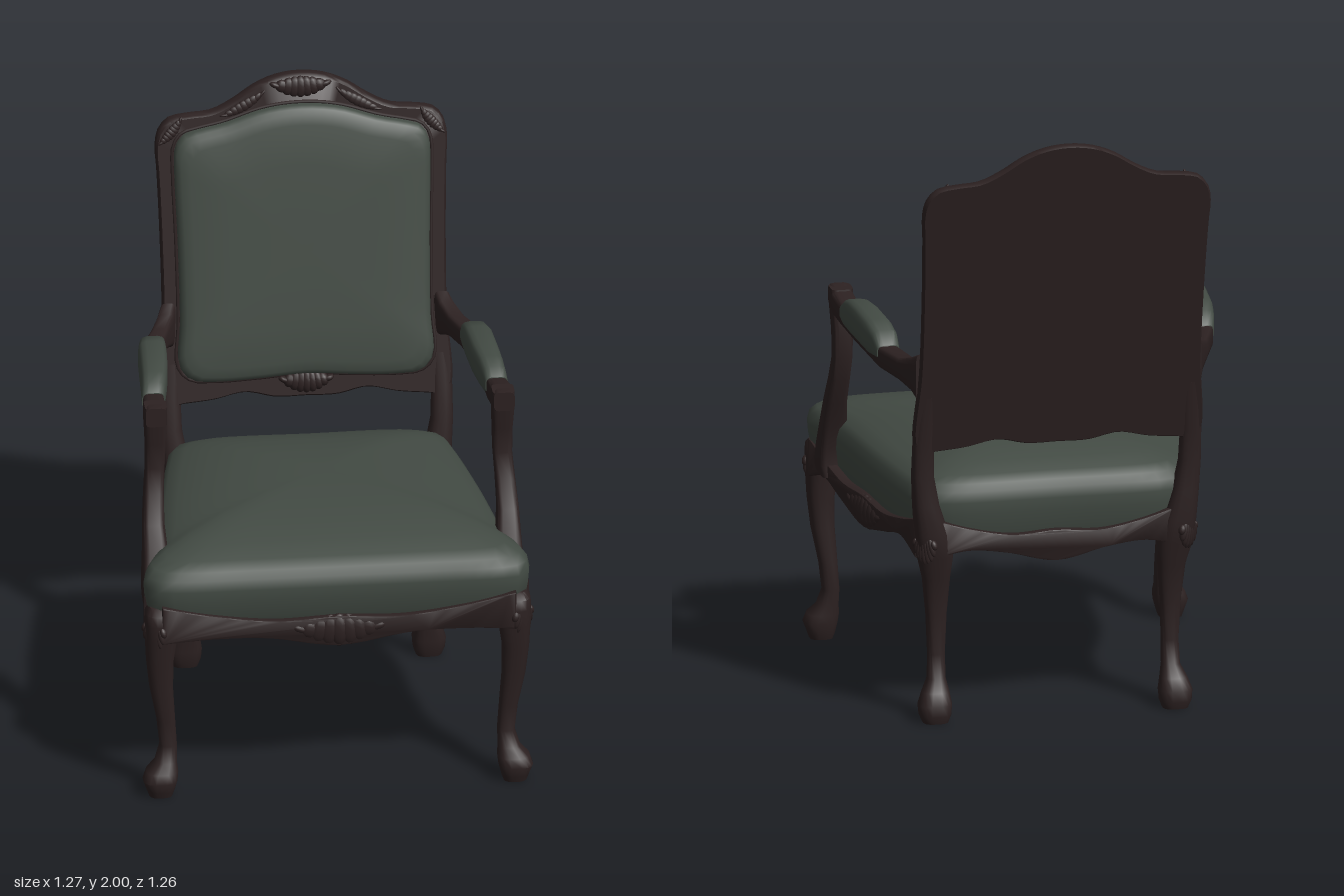
import * as THREE from 'three';
import { mergeGeometries, toCreasedNormals } from 'three/addons/utils/BufferGeometryUtils.js';

const V = (x, y, z) => new THREE.Vector3(x, y, z);

// Solid through a list of equal-length rings, facing outwards; the first end may stay open
function loft(rings, crease = 0.8, openStart = false) {
  const n = rings[0].length, pts = rings.flat(), tris = [];
  const mid = (r) => r.reduce((a, p) => a.add(p), V(0, 0, 0)).divideScalar(n);
  for (let i = 0; i < rings.length - 1; i++) {
    for (let j = 0; j < n; j++) {
      const a = i * n + j, b = i * n + (j + 1) % n;
      tris.push([a, b, b + n], [a, b + n, a + n]);
    }
  }
  const last = (rings.length - 1) * n, c0 = pts.length;
  pts.push(mid(rings[0]), mid(rings[rings.length - 1]));
  for (let j = 0; j < n; j++) {
    const k = (j + 1) % n;
    if (!openStart) tris.push([c0, k, j]);
    tris.push([c0 + 1, last + j, last + k]);
  }
  let volume = 0;
  for (const [a, b, c] of tris) volume += pts[a].dot(V(0, 0, 0).crossVectors(pts[b], pts[c]));
  const geo = new THREE.BufferGeometry().setFromPoints(pts);
  geo.setIndex(tris.flatMap(([a, b, c]) => (volume > 0 ? [a, b, c] : [a, c, b])));
  return toCreasedNormals(geo, crease);
}

// Rounded-square ring (smaller power = squarer); plane(u, v) maps the offsets into space
function ring(hu, hv, power, plane, n = 16) {
  return Array.from({ length: n }, (_, i) => {
    const a = (i + 0.5) / n * Math.PI * 2, c = Math.cos(a), s = Math.sin(a);
    return plane(hu * Math.sign(c) * Math.abs(c) ** power, hv * Math.sign(s) * Math.abs(s) ** power);
  });
}
// Upright member: rows of [y, x, z, half width, half depth]
const upright = (rows, side, power = 0.7) => loft(rows.map(([y, x, z, hx, hz]) =>
  ring(hx, hz, power, (u, v) => V(side * x + u, y, z + v))));
// Member running front to back: rows of [z, x, y, half width, half height]
const lengthwise = (rows, side, power) => loft(rows.map(([z, x, y, hx, hy]) =>
  ring(hx, hy, power, (u, v) => V(side * x + u, y + v, z))));

// Symmetric closed outline from the points of its right half, centre to centre
function outline(half, samples) {
  const left = half.slice(1, -1).reverse().map(([x, y]) => [-x, y]);
  const pts = [...half, ...left].map(([x, y]) => V(x, y, 0));
  return new THREE.CatmullRomCurve3(pts, true).getSpacedPoints(samples).slice(0, samples);
}

// Leaning front plane of the chair back
const backZ = (y) => -0.388 - 0.183 * (y - 0.9);
// Layers of a leaning outline: rows of [scale, distance in front of the plane]
const leaning = (contour, rows, crease) => loft(rows.map(([s, d]) => contour.map((p) => {
  const y = 1.45 + (p.y - 1.45) * s;
  return V(p.x * s, y, backZ(y) + d);
})), crease);

// Fan of overlapping ribs, carved as a shell
function shell(w, h, d) {
  const ribs = [];
  for (let i = -4; i <= 4; i++) {
    const k = Math.abs(i);
    const rib = new THREE.SphereGeometry(1, 10, 8);
    rib.scale(w * 0.22, h * (1 - 0.045 * k * k), d * (1 - 0.07 * k));
    rib.rotateZ(i * 0.09);
    rib.translate(i * w * 0.2, h * 0.012 * k * k, 0);
    ribs.push(rib);
  }
  return mergeGeometries(ribs);
}

// Scalloped seat rail from one plan point to another
function rail(a, b, dip) {
  const len = Math.hypot(b[0] - a[0], b[1] - a[1]);
  const curve = (rows) => new THREE.SplineCurve(
    rows.map(([t, y]) => new THREE.Vector2(t * len, y))).getPoints(32);
  const top = curve([[-0.5, 0.685], [-0.36, 0.65], [-0.18, 0.622], [0, 0.63], [0.18, 0.622], [0.36, 0.65], [0.5, 0.685]]);
  const low = curve([[0.5, 0.565], [0.36, dip], [0.2, 0.57], [0, 0.535], [-0.2, 0.57], [-0.36, dip], [-0.5, 0.565]]);
  const geo = new THREE.ExtrudeGeometry(new THREE.Shape([...top, ...low]),
    { depth: 0.024, bevelThickness: 0.006, bevelSize: 0.005, bevelSegments: 2 });
  geo.translate(0, 0, -0.009);
  geo.rotateY(Math.atan2(a[1] - b[1], b[0] - a[0]));
  geo.translate((a[0] + b[0]) / 2, 0, (a[1] + b[1]) / 2);
  return toCreasedNormals(geo, 0.6);
}

export function createModel() {
  const model = new THREE.Group();
  const wood = new THREE.MeshStandardMaterial({ color: 0x2c2121 });
  wood.name = 'dark wood';
  const fabric = new THREE.MeshStandardMaterial({ color: 0x424a43, side: THREE.DoubleSide });
  fabric.name = 'green upholstery';
  const add = (name, geo, mat, x = 0, y = 0, z = 0) => {
    const mesh = new THREE.Mesh(geo, mat);
    mesh.name = name;
    mesh.position.set(x, y, z);
    model.add(mesh);
    return mesh;
  };

  // Seat cushion: tapered plan, crowned top, hollow underneath
  const plan = outline([[0, 0.61], [0.3, 0.61], [0.52, 0.608], [0.595, 0.592], [0.627, 0.545], [0.618, 0.485],
    [0.588, 0.42], [0.569, 0.34], [0.522, 0], [0.468, -0.3], [0.445, -0.375], [0.37, -0.412], [0, -0.418]], 84);
  const seatRows = [[0.96, 0.612], [0.98, 0.64], [0.995, 0.7], [1, 0.74], [0.988, 0.775], [0.955, 0.798],
    [0.88, 0.818], [0.75, 0.843], [0.55, 0.868], [0.3, 0.881], [0.1, 0.885]];
  add('seatCushion', loft(seatRows.map(([s, y]) =>
    plan.map((p) => V(p.x * s, y, 0.04 + (p.y - 0.04) * s))), 1.3, true), fabric);

  // Rails with carved shells
  add('frontRail', rail([-0.57, 0.594], [0.57, 0.594], 0.575), wood);
  add('backRail', rail([0.4, -0.408], [-0.4, -0.408], 0.585), wood);
  add('frontRailShell', shell(0.16, 0.058, 0.024), wood, 0, 0.582, 0.602);
  for (const side of [1, -1]) {
    const ends = [[side * 0.605, 0.52], [side * 0.443, -0.39]];
    add('sideRail', side > 0 ? rail(...ends, 0.602) : rail(ends[1], ends[0], 0.602), wood);
    add('sideRailShell', shell(0.15, 0.056, 0.026), wood, side * 0.53, 0.582, 0.05)
      .rotation.y = side * 1.743;
  }

  // Wooden back panel with a serpentine crest
  const panel = outline([[0, 0.935], [0.1, 0.935], [0.2, 0.955], [0.3, 0.935], [0.4, 0.925], [0.455, 0.92],
    [0.474, 0.96], [0.462, 1.2], [0.463, 1.45], [0.47, 1.7], [0.474, 1.77], [0.463, 1.825], [0.43, 1.862],
    [0.37, 1.874], [0.29, 1.882], [0.22, 1.915], [0.15, 1.96], [0.08, 1.988], [0, 1.998]], 140);
  add('backPanel', leaning(panel, [[0.985, 0], [0.996, -0.006], [1, -0.013], [1, -0.035], [0.99, -0.045]], 0.7), wood);

  // Back cushion with a fine moulding around it
  const pad = outline([[0, 1.02], [0.15, 1.01], [0.3, 1.005], [0.375, 1.015], [0.411, 1.06], [0.406, 1.2],
    [0.408, 1.45], [0.415, 1.7], [0.413, 1.77], [0.388, 1.816], [0.33, 1.834], [0.25, 1.851], [0.12, 1.891],
    [0, 1.903]], 90);
  add('backCushion', leaning(pad, [[1, -0.01], [1, 0.016], [0.985, 0.03], [0.95, 0.038], [0.88, 0.043],
    [0.6, 0.047], [0.2, 0.048]], 1.3), fabric);
  const trim = new THREE.CatmullRomCurve3(pad.map((p) => {
    const y = 1.45 + (p.y - 1.45) * 1.012;
    return V(p.x * 1.014, y, backZ(y));
  }), true);
  add('backMoulding', new THREE.TubeGeometry(trim, 120, 0.006, 6, true), wood);

  // Carvings on the back frame
  add('crestShell', shell(0.1, 0.036, 0.017), wood, 0, 1.958, backZ(1.958)).rotation.x = -0.18;
  add('lowerBackShell', shell(0.09, 0.04, 0.026), wood, 0, 0.988, backZ(0.988)).rotation.x = -0.18;
  for (const side of [1, -1]) {
    add('crestLeaf', shell(0.085, 0.018, 0.009), wood, side * 0.185, 1.903, backZ(1.903))
      .rotation.set(-0.18, 0, side * -0.5);
    add('cornerLeaf', shell(0.06, 0.018, 0.009), wood, side * 0.422, 1.825, backZ(1.825))
      .rotation.set(-0.18, 0, side * -0.85);
  }

  for (const side of [1, -1]) {
    // Curved front leg
    add('frontLeg', upright([[0, 0.575, 0.557, 0.038, 0.036], [0.02, 0.575, 0.557, 0.045, 0.043],
      [0.055, 0.577, 0.56, 0.056, 0.052], [0.085, 0.57, 0.555, 0.052, 0.048], [0.115, 0.557, 0.545, 0.036, 0.036],
      [0.17, 0.548, 0.535, 0.028, 0.031], [0.26, 0.556, 0.538, 0.03, 0.034], [0.38, 0.572, 0.547, 0.038, 0.04],
      [0.48, 0.577, 0.553, 0.044, 0.046], [0.56, 0.573, 0.555, 0.052, 0.056], [0.62, 0.572, 0.555, 0.055, 0.06],
      [0.655, 0.574, 0.555, 0.051, 0.056], [0.675, 0.575, 0.555, 0.035, 0.035]], side), wood);
    add('frontKneeCarving', shell(0.048, 0.065, 0.018), wood, side * 0.598, 0.59, 0.585)
      .rotation.y = side * 0.785;

    // Back leg running up into the stile
    add('backLegAndStile', upright([[0, 0.395, -0.392, 0.042, 0.038], [0.025, 0.396, -0.392, 0.052, 0.046],
      [0.06, 0.396, -0.39, 0.055, 0.049], [0.1, 0.392, -0.38, 0.044, 0.04], [0.14, 0.386, -0.363, 0.03, 0.03],
      [0.22, 0.385, -0.355, 0.028, 0.027], [0.36, 0.386, -0.36, 0.034, 0.03], [0.48, 0.388, -0.369, 0.045, 0.036],
      [0.56, 0.395, -0.386, 0.058, 0.046], [0.64, 0.408, -0.393, 0.055, 0.048], [0.74, 0.428, -0.398, 0.043, 0.04],
      [0.84, 0.44, -0.405, 0.036, 0.033], [0.95, 0.441, -0.42, 0.034, 0.027],
      [1.12, 0.433, -0.452, 0.029, 0.022]], side), wood);
    add('backKneeCarving', shell(0.045, 0.06, 0.018), wood, side * 0.434, 0.6, -0.416)
      .rotation.y = side * 2.36;

    // Square arm post sweeping forward into the seat rail
    add('armPost', upright([[0.605, 0.582, 0.425, 0.032, 0.08], [0.64, 0.583, 0.415, 0.036, 0.065],
      [0.7, 0.578, 0.398, 0.041, 0.05], [0.78, 0.573, 0.372, 0.041, 0.044], [0.87, 0.575, 0.332, 0.035, 0.038],
      [0.96, 0.57, 0.293, 0.032, 0.034], [1.04, 0.564, 0.273, 0.031, 0.031], [1.13, 0.563, 0.277, 0.033, 0.034],
      [1.2, 0.564, 0.287, 0.036, 0.04], [1.268, 0.564, 0.295, 0.036, 0.036]], side, 0.4), wood);

    // Arm and its pad
    add('arm', lengthwise([[-0.45, 0.445, 1.185, 0.026, 0.08], [-0.41, 0.457, 1.188, 0.028, 0.058],
      [-0.35, 0.482, 1.187, 0.029, 0.038], [-0.24, 0.518, 1.195, 0.035, 0.036], [-0.17, 0.527, 1.195, 0.031, 0.036],
      [0.05, 0.547, 1.198, 0.029, 0.036], [0.13, 0.554, 1.204, 0.03, 0.037], [0.17, 0.557, 1.21, 0.034, 0.037],
      [0.25, 0.564, 1.222, 0.036, 0.04], [0.31, 0.565, 1.233, 0.036, 0.038],
      [0.331, 0.565, 1.238, 0.034, 0.033]], side, 0.4), wood);
    add('armPad', lengthwise([[-0.24, 0.518, 1.21, 0.037, 0.024], [-0.2, 0.522, 1.228, 0.043, 0.046],
      [-0.13, 0.529, 1.233, 0.047, 0.057], [0, 0.538, 1.234, 0.046, 0.059], [0.09, 0.547, 1.232, 0.042, 0.057],
      [0.14, 0.553, 1.227, 0.039, 0.048], [0.172, 0.557, 1.222, 0.037, 0.028]], side, 0.55), fabric);
  }
  return model;
}
